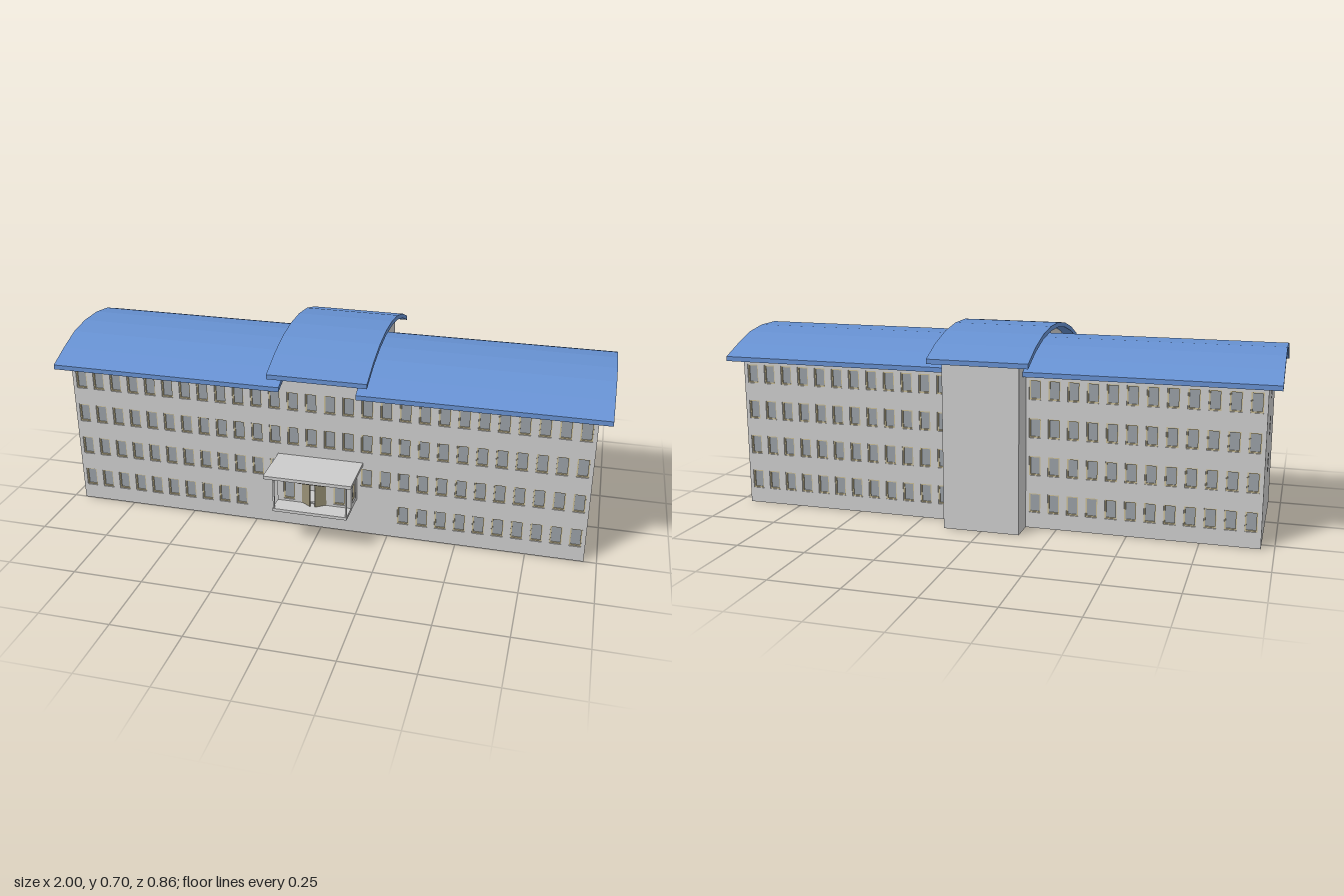
import * as THREE from 'three';
import { mergeGeometries } from 'three/addons/utils/BufferGeometryUtils.js';

const T = 0.012;        // wall skin thickness = depth of the window recesses
const ROOF = 0.017;     // roof thickness
const FRONT = 0.25, BACK = -0.295, TOWER_BACK = -0.387, HALF = 0.955, TOWER = 0.138;

const mat = (color) => new THREE.MeshStandardMaterial({ color });
const wallMat = mat(0xcccccc), roofMat = mat(0x6690d0), glassMat = mat(0x989ea4);
const frameMat = mat(0xc8bc96), doorMat = mat(0x978f75);

// Roof top lines as [z, y]
const mainArc = [[0.297, 0.569], [0.21, 0.606], [0.12, 0.638], [0.03, 0.652],
  [-0.072, 0.652], [-0.163, 0.638], [-0.252, 0.606], [-0.34, 0.569]];
const towerArc = [[0.297, 0.614], [0.197, 0.655], [0.092, 0.684], [-0.013, 0.698],
  [-0.122, 0.698], [-0.23, 0.684], [-0.335, 0.655], [-0.43, 0.614]];

function mesh(name, geometry, material) {
  const m = new THREE.Mesh(geometry, material);
  m.name = name;
  return m;
}

function box(name, x0, x1, y0, y1, z0, z1, material = wallMat) {
  const g = new THREE.BoxGeometry(x1 - x0, y1 - y0, z1 - z0);
  g.translate((x0 + x1) / 2, (y0 + y1) / 2, (z0 + z1) / 2);
  return mesh(name, g, material);
}

const toShape = (pts) => new THREE.Shape(pts.map(([a, b]) => new THREE.Vector2(a, b)));

const rect = (u, v, w, h) => [[u - w / 2, v - h / 2], [u + w / 2, v - h / 2],
  [u + w / 2, v + h / 2], [u - w / 2, v + h / 2]];

// Sweeps a [z, y] section along x from x0 to x1
function sweepX(name, section, x0, x1, material) {
  const g = new THREE.ExtrudeGeometry(toShape(section), { depth: x1 - x0, bevelEnabled: false });
  g.rotateY(-Math.PI / 2).translate(x1, 0, 0);
  return mesh(name, g, material);
}

// Height just inside the roof's underside at z
function underside(arc, z) {
  const i = arc.findIndex((p) => p[0] <= z);
  const [z0, y0] = arc[i - 1], [z1, y1] = arc[i];
  return y0 + (y1 - y0) * (z - z0) / (z1 - z0) - ROOF + 0.003;
}

// Wall section between two depths, topped by the roof line
function gable(arc, zFront, zBack) {
  const inner = arc.filter(([z]) => z < zFront && z > zBack).map(([z]) => z);
  const top = [zFront, ...inner, zBack].map((z) => [z, underside(arc, z)]);
  return [[zBack, 0], [zFront, 0], ...top];
}

const roofSection = (arc) => [...arc, ...arc.map(([z, y]) => [z, y - ROOF]).reverse()];

// A wall whose outer face lies on local z = 0, with recessed framed windows
function wall(name, outline, windows, doors = []) {
  const group = new THREE.Group();
  group.name = name;
  const shape = toShape(outline);
  for (const r of [...windows, ...doors]) shape.holes.push(new THREE.Path(rect(...r).map(([a, b]) => new THREE.Vector2(a, b))));
  const skin = new THREE.ExtrudeGeometry(shape, { depth: T, bevelEnabled: false }).translate(0, 0, -T);
  group.add(mesh(name + 'Skin', skin, wallMat));
  if (windows.length) {
    const frames = [], panes = [];
    for (const [u, v, w, h] of windows) {
      const ring = toShape(rect(u, v, w, h));
      ring.holes.push(new THREE.Path(rect(u, v, w - 0.009, h - 0.009).map(([a, b]) => new THREE.Vector2(a, b))));
      frames.push(new THREE.ExtrudeGeometry(ring, { depth: 0.008, bevelEnabled: false }).translate(0, 0, -T));
      panes.push(new THREE.BoxGeometry(w - 0.008, h - 0.008, 0.003).translate(u, v, -T + 0.002));
    }
    group.add(mesh('windowFrames', mergeGeometries(frames), frameMat));
    group.add(mesh('windowPanes', mergeGeometries(panes), glassMat));
  }
  return group;
}

function place(object, x, z, turn = 0) {
  object.position.set(x, 0, z);
  object.rotation.y = turn;
  return object;
}

// Entrance porch: glazed lobby, open landing and canopy
function createPorch() {
  const porch = new THREE.Group();
  porch.name = 'porch';
  const w = 0.136, zWall = 0.343, y0 = 0.15, y1 = 0.276;
  porch.add(box('porchFloor', -w, w, 0.139, y0, FRONT, 0.41));
  porch.add(box('canopy', -0.16, 0.157, y1, 0.288, FRONT, 0.432));
  porch.add(place(wall('porchFront', [[-w, y0], [w, y0], [w, y1], [-w, y1]],
    [[-0.092, 0.203, 0.042, 0.09], [0.092, 0.203, 0.042, 0.09]], [[0, 0.2, 0.09, 0.092]]), 0, zWall));
  for (const s of [-1, 1]) {
    const z = (FRONT + zWall - T) / 2, d = (zWall - T - FRONT) / 2;
    porch.add(place(wall('porchSide', [[-d, y0], [d, y0], [d, y1], [-d, y1]],
      [[-s * (0.297 - z), 0.203, 0.042, 0.09]]), s * w, z, s * Math.PI / 2));
    porch.add(box('porchPost', s * 0.132 - 0.003, s * 0.132 + 0.003, y0, y1, 0.399, 0.405));
    // Door leaf standing ajar
    const leaf = box('doorLeaf', s < 0 ? 0 : -0.043, s < 0 ? 0.043 : 0, 0.151, 0.245, -0.002, 0.002, doorMat);
    porch.add(place(leaf, s * 0.044, zWall - 0.002, s * 0.6));
  }
  porch.add(box('doorHood', -0.046, 0.046, 0.245, 0.247, zWall - 0.002, 0.38, doorMat));
  return porch;
}

export function createModel() {
  const model = new THREE.Group();
  model.name = 'building';

  // Solid cores and roofs
  model.add(sweepX('mainCore', gable(mainArc, FRONT - T, BACK + T), -HALF + T, HALF - T, wallMat));
  model.add(sweepX('stairTower', gable(towerArc, FRONT - T, TOWER_BACK), -TOWER, TOWER, wallMat));
  model.add(sweepX('wingRoofRight', roofSection(mainArc), -1, -TOWER, roofMat));
  model.add(sweepX('wingRoofLeft', roofSection(mainArc), TOWER, 1, roofMat));
  model.add(sweepX('towerRoof', roofSection(towerArc), -0.182, 0.178, roofMat));

  // Window grid: 28 columns by 4 floors
  const floors = [0.092, 0.228, 0.364, 0.5];
  const frontWindows = [], backWindows = [];
  floors.forEach((y, floor) => {
    for (let i = 0; i < 28; i++) {
      const x = -0.92 + i * 1.84 / 27, a = Math.abs(x);
      if (a > [0.29, 0.14, 0, 0][floor]) frontWindows.push([x, y, 0.042, 0.07]);
      if (a > 0.15) backWindows.push([x, y, 0.042, 0.07]);
    }
  });

  // Long walls, the front one rising at the tower
  const eave = underside(mainArc, FRONT), high = underside(towerArc, FRONT);
  const backEave = underside(mainArc, BACK);
  model.add(place(wall('frontWall', [[-HALF, 0], [HALF, 0], [HALF, eave], [TOWER, eave],
    [TOWER, high], [-TOWER, high], [-TOWER, eave], [-HALF, eave]], frontWindows), 0, FRONT));
  model.add(place(wall('backWall', [[-HALF, 0], [HALF, 0], [HALF, backEave], [-HALF, backEave]],
    backWindows), 0, BACK, Math.PI));

  // Arched end walls with one column of windows
  for (const s of [-1, 1]) {
    const outline = gable(mainArc, FRONT - T, BACK + T).map(([z, y]) => [-s * z, y]);
    const windows = floors.slice(1).map((y) => [s * 0.021, y, 0.042, 0.07]);
    model.add(place(wall('endWall', outline, windows), s * HALF, 0, s * Math.PI / 2));
  }

  model.add(createPorch());
  return model;
}
